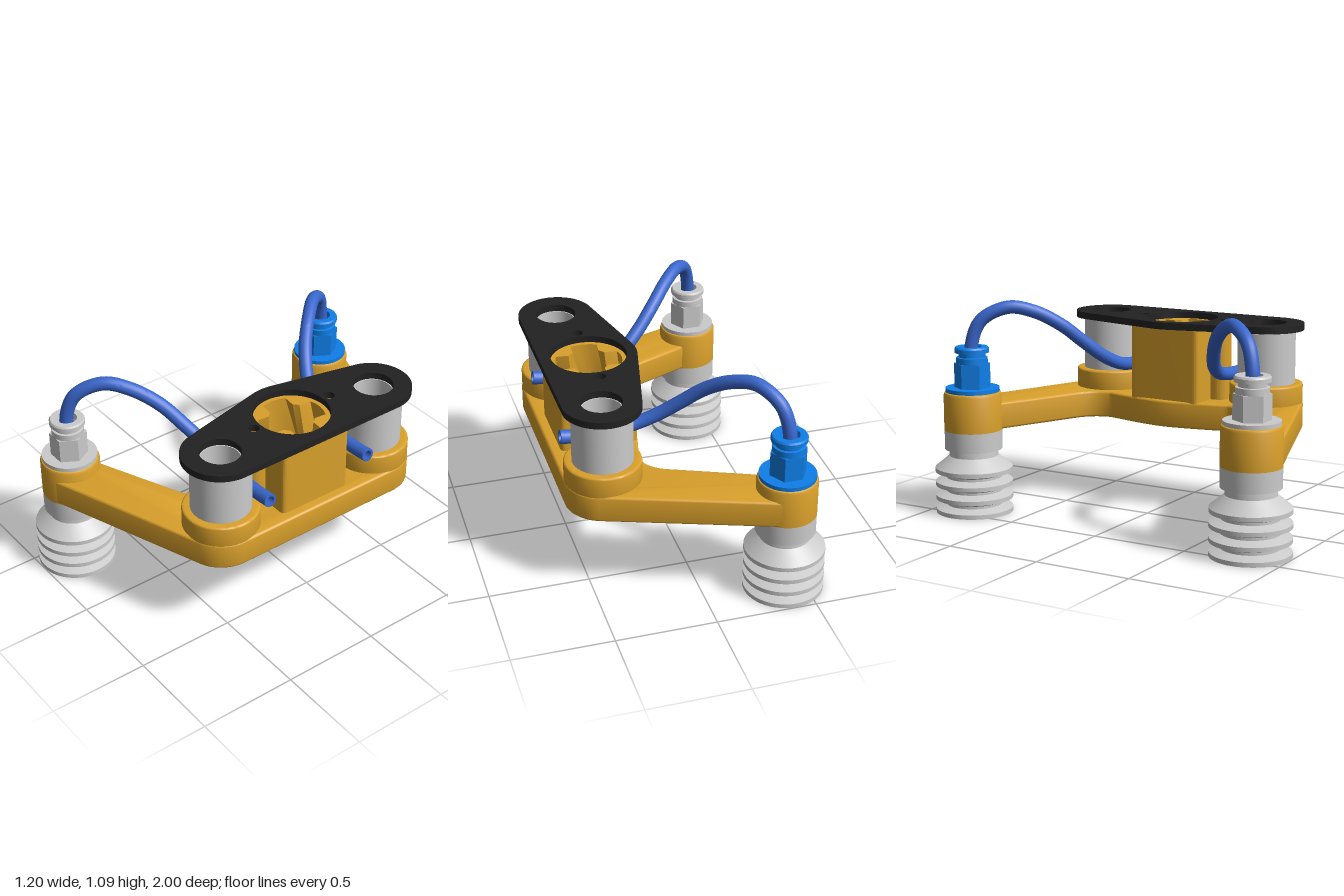
import * as THREE from 'three';
import { toCreasedNormals } from 'three/addons/utils/BufferGeometryUtils.js';

const paint = (color) => new THREE.MeshStandardMaterial({ color, side: THREE.DoubleSide });
const GREY = paint(0xcccccc), YELLOW = paint(0xd9a02b), BLACK = paint(0x222222);
const HOSE = paint(0x3a68cf), BLUE = paint(0x0f7fe8);
const PI = Math.PI, AXIS_X = 0.355, POST_X = 0.41, POST_Z = 0.465, CUP_X = -0.4, CUP_Z = 0.8;

export function createModel() {
  const model = new THREE.Group();

  function add(parent, name, geometry, material) {
    const mesh = new THREE.Mesh(toCreasedNormals(geometry, 0.55), material);
    mesh.name = name;
    parent.add(mesh);
    return mesh;
  }
  // Profile of [radius, height] pairs, going up the outside first
  const lathe = (pts, seg = 48) => new THREE.LatheGeometry(pts.map(([r, y]) => new THREE.Vector2(r, y)), seg);
  const hole = (shape, x, z, r) => shape.holes.push(new THREE.Path().absarc(x, z, r, 0, 2 * PI, true));
  // Extrudes a plan drawn in (x, z) between two heights
  function slab(shape, y0, y1, bevel = 0) {
    const g = new THREE.ExtrudeGeometry(shape, {
      depth: y1 - y0 - 2 * bevel, bevelEnabled: bevel > 0, bevelSize: bevel, bevelThickness: bevel,
      bevelOffset: -bevel, bevelSegments: 3, curveSegments: 28,
    });
    return g.rotateX(PI / 2).translate(0, y1 - bevel, 0);
  }

  // Base: V-shaped arms joined by a waist
  const base = new THREE.Shape();
  const lean = 1.227;
  base.absarc(POST_X, POST_Z, 0.19, 0, lean);
  base.absarc(CUP_X, CUP_Z, 0.146, lean, PI);
  base.lineTo(-0.35, 0.675);
  base.lineTo(0.09, 0.49);
  base.quadraticCurveTo(0.19, 0.45, 0.2, 0.35);
  base.quadraticCurveTo(0.135, 0.1, 0.135, 0);
  base.quadraticCurveTo(0.135, -0.1, 0.2, -0.35);
  base.quadraticCurveTo(0.19, -0.45, 0.09, -0.49);
  base.lineTo(-0.35, -0.675);
  base.absarc(CUP_X, -CUP_Z, 0.146, PI, 2 * PI - lean);
  base.absarc(POST_X, -POST_Z, 0.19, 2 * PI - lean, 2 * PI);
  hole(base, AXIS_X, 0, 0.178);
  for (const s of [1, -1]) hole(base, POST_X, s * POST_Z, 0.11);
  add(model, 'baseArms', slab(base, 0.43, 0.567, 0.012), YELLOW);

  // Central tower with a screw ear on each side
  const tower = new THREE.Shape();
  tower.moveTo(0.55, -0.17);
  tower.lineTo(0.55, 0.17);
  tower.quadraticCurveTo(0.55, 0.2, 0.52, 0.2);
  tower.lineTo(0.41, 0.2);
  tower.absarc(AXIS_X, 0.225, 0.055, 0, PI);
  tower.lineTo(0.3, 0.2);
  tower.lineTo(0.19, 0.2);
  tower.quadraticCurveTo(0.16, 0.2, 0.16, 0.17);
  tower.lineTo(0.16, -0.17);
  tower.quadraticCurveTo(0.16, -0.2, 0.19, -0.2);
  tower.lineTo(0.3, -0.2);
  tower.absarc(AXIS_X, -0.225, 0.055, PI, 2 * PI);
  tower.lineTo(0.41, -0.2);
  tower.lineTo(0.52, -0.2);
  tower.quadraticCurveTo(0.55, -0.2, 0.55, -0.17);
  hole(tower, AXIS_X, 0, 0.188);
  add(model, 'tower', slab(tower, 0.56, 0.94), YELLOW);

  add(model, 'twistedSocket', socketGeometry(), YELLOW);

  // Cover plate: straight right edge, rounded ends, bulging left side
  const plate = new THREE.Shape();
  const tangent = 2.92;
  plate.absarc(POST_X, POST_Z, 0.19, 0, tangent);
  plate.absarc(AXIS_X, 0, 0.24, tangent, 2 * PI - tangent);
  plate.absarc(POST_X, -POST_Z, 0.19, 2 * PI - tangent, 2 * PI);
  hole(plate, AXIS_X, 0, 0.188);
  for (const s of [1, -1]) {
    hole(plate, POST_X, s * POST_Z, 0.1);
    hole(plate, AXIS_X, s * 0.23, 0.028);
  }
  add(model, 'coverPlate', slab(plate, 0.94, 0.975), BLACK);

  for (const s of [1, -1]) {
    const side = s > 0 ? 'front' : 'back';

    // Hollow post standing in its raised seat
    const seat = new THREE.Shape().absarc(POST_X, s * POST_Z, 0.188, 0, 2 * PI);
    hole(seat, POST_X, s * POST_Z, 0.11);
    add(model, side + 'PostSeat', slab(seat, 0.54, 0.667, 0.01), YELLOW);
    const post = add(model, side + 'Post',
      lathe([[0.095, 0.5], [0.148, 0.5], [0.148, 0.932], [0.14, 0.94], [0.095, 0.94], [0.095, 0.5]]), GREY);
    post.position.set(POST_X, 0, s * POST_Z);

    // Suction unit at the end of the arm
    const unit = new THREE.Group();
    unit.name = side + 'SuctionUnit';
    unit.position.set(CUP_X, 0, s * CUP_Z);
    model.add(unit);
    add(unit, 'armBoss',
      lathe([[0.06, 0.43], [0.148, 0.43], [0.148, 0.612], [0.143, 0.624], [0.132, 0.63], [0.06, 0.63]]), YELLOW);
    add(unit, 'cupCollar', lathe([[0.1, 0.33], [0.147, 0.33], [0.147, 0.43], [0.1, 0.43]]), GREY);
    add(unit, 'bellowsCup', bellowsGeometry(), GREY);

    const fitting = new THREE.Group();
    fitting.name = 'hoseFitting';
    unit.add(fitting);
    const metal = s > 0 ? GREY : BLUE;
    add(fitting, 'flange', lathe([[0, 0.628], [0.138, 0.628], [0.138, 0.648], [0, 0.648]]), metal);
    add(fitting, 'hexNut', new THREE.CylinderGeometry(0.092, 0.092, 0.125, 6).rotateY(PI / 6).translate(0, 0.71, 0), metal);
    add(fitting, 'shoulder', lathe([[0.08, 0.77], [0.08, 0.803], [0.068, 0.805], [0.068, 0.828], [0.05, 0.828]]), metal);
    add(fitting, 'releaseRing',
      lathe([[0.04, 0.828], [0.088, 0.828], [0.088, 0.848], [0.082, 0.857], [0.05, 0.857], [0.04, 0.82]]), metal);

    // Hose arching from the fitting down to the gap beside the post
    const path = new THREE.CatmullRomCurve3([
      [-0.4, 0.76, 0.8], [-0.4, 0.87, 0.8], [-0.37, 0.99, 0.76], [-0.29, 1.055, 0.65], [-0.2, 1.03, 0.55],
      [-0.1, 0.955, 0.45], [0, 0.86, 0.38], [0.1, 0.78, 0.33], [0.22, 0.725, 0.3], [0.36, 0.705, 0.3],
      [0.48, 0.705, 0.3], [0.578, 0.715, 0.3],
    ].map(([x, y, z]) => new THREE.Vector3(x, y, z * s)));
    add(model, side + 'Hose', new THREE.TubeGeometry(path, 90, 0.034, 18), HOSE);
    add(model, side + 'HoseBore', new THREE.TubeGeometry(path, 90, 0.023, 12), HOSE);
    const rim = add(model, side + 'HoseRim', new THREE.RingGeometry(0.023, 0.034, 18), HOSE);
    rim.position.copy(path.getPoint(1));
    rim.lookAt(path.getPoint(1).add(path.getTangent(1)));
  }
  return model;

  // Bellows: folds outside, matching folds inside, open at the bottom
  function bellowsGeometry() {
    const outer = [], inner = [];
    for (let i = 0; i < 4; i++) {
      const y = i * 0.071;
      outer.push([0.198, y], [0.198, y + 0.022]);
      inner.push([i ? 0.165 : 0.175, y + 0.008]);
      if (i < 3) {
        outer.push([0.143, y + 0.04], [0.143, y + 0.053]);
        inner.push([0.115, y + 0.046]);
      }
    }
    outer.push([0.125, 0.295], [0.122, 0.335]);
    inner.push([0.08, 0.28], [0.08, 0.34], [0, 0.34]);
    return lathe([...inner.reverse(), ...outer]);
  }

  // Four-slot bore twisted along its height, closed by a ring at both ends
  function socketGeometry() {
    const outline = [];
    for (let k = 0; k < 4; k++) {
      for (const [a, r] of [[-0.63, 0.11], [-0.405, 0.166], [-0.2, 0.166], [0, 0.166], [0.2, 0.166],
        [0.405, 0.166], [0.63, 0.11], [0.785, 0.11]]) outline.push([a + k * PI / 2, r]);
    }
    const n = outline.length, steps = 16, pos = [], index = [];
    for (let j = -1; j <= steps + 1; j++) {
      const t = Math.min(Math.max(j / steps, 0), 1);
      const cap = j < 0 || j > steps;
      for (const [a, r] of outline) {
        const angle = a + 0.08 + (1 - t) * PI / 4, radius = cap ? 0.193 : r;
        pos.push(AXIS_X + radius * Math.cos(angle), 0.43 + 0.511 * t, radius * Math.sin(angle));
      }
    }
    for (let j = 0; j < steps + 2; j++) {
      for (let i = 0; i < n; i++) {
        const a = j * n + i, b = j * n + (i + 1) % n;
        index.push(a, b, a + n, b, b + n, a + n);
      }
    }
    const g = new THREE.BufferGeometry();
    g.setAttribute('position', new THREE.Float32BufferAttribute(pos, 3));
    g.setIndex(index);
    return g;
  }
}
